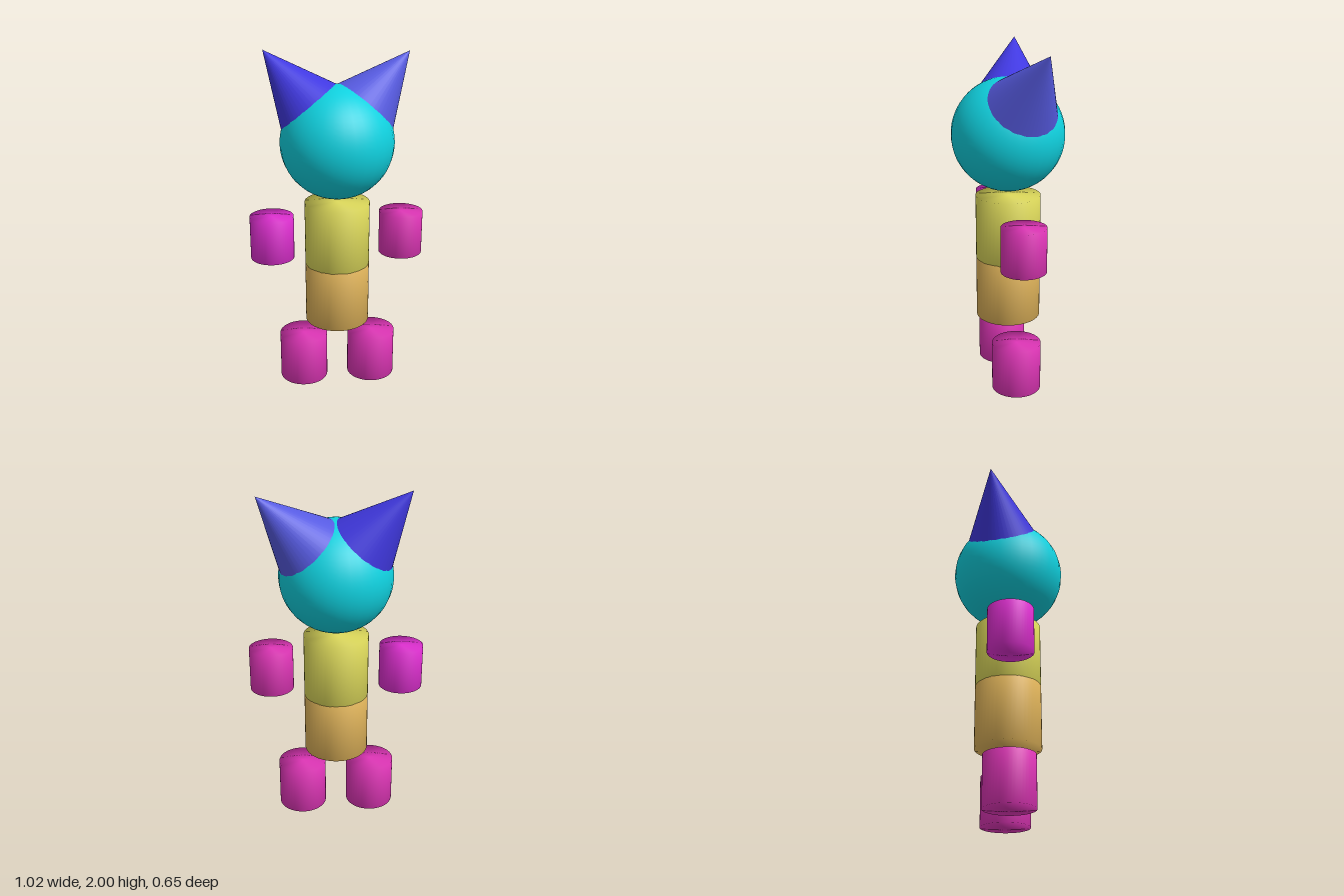
import * as THREE from 'three';
import { mergeVertices } from 'three/addons/utils/BufferGeometryUtils.js';

const material = (name, color) => new THREE.MeshStandardMaterial({ name, color });

// Cylinder whose shading runs smoothly over its rims
function softCylinder(radius, height) {
  const g = new THREE.CylinderGeometry(radius, radius, height, 48);
  g.deleteAttribute('normal');
  g.deleteAttribute('uv');
  const merged = mergeVertices(g, 1e-4);
  merged.computeVertexNormals();
  return merged;
}

export function createModel() {
  const model = new THREE.Group();
  model.name = 'figure';

  const cyan = material('cyan', 0x10d2e0);
  const yellow = material('yellow', 0xdfdb5c);
  const orange = material('orange', 0xdfb35a);
  const pink = material('pink', 0xe036b8);
  const magenta = material('magenta', 0xe030d2);
  const indigo = material('indigo', 0x4038e0);
  const periwinkle = material('periwinkle', 0x565ae0);

  function add(name, geometry, mat, x, y, z) {
    const mesh = new THREE.Mesh(geometry, mat);
    mesh.name = name;
    mesh.position.set(x, y, z);
    model.add(mesh);
    return mesh;
  }

  // Head
  const headRadius = 0.325;
  const headCentre = new THREE.Vector3(0, 1.497, 0);
  add('head', new THREE.SphereGeometry(headRadius, 32, 32), cyan, ...headCentre.toArray());

  // Ears: cones pointing away from the head centre, with buried bases
  function addEar(name, tip, mat) {
    const axis = tip.clone().sub(headCentre);
    const buried = 0.1;
    const height = axis.length() - buried;
    axis.normalize();
    const centre = headCentre.clone().addScaledVector(axis, buried + height / 2);
    const ear = add(name, new THREE.ConeGeometry(height * 0.5, height, 48), mat, ...centre.toArray());
    ear.quaternion.setFromUnitVectors(new THREE.Vector3(0, 1, 0), axis);
  }
  addEar('leftEar', new THREE.Vector3(0.43, 1.98, -0.125), periwinkle);
  addEar('rightEar', new THREE.Vector3(-0.4, 2.0, -0.125), indigo);

  // Torso
  add('chest', softCylinder(0.19, 0.38), yellow, 0, 0.95, 0);
  add('belly', softCylinder(0.19, 0.372), orange, 0, 0.576, 0);

  // Arms and legs
  const arm = softCylinder(0.128, 0.256);
  add('leftArm', arm, pink, 0.38, 0.937, -0.005);
  add('rightArm', arm, magenta, -0.382, 0.937, -0.007);
  const leg = softCylinder(0.144, 0.288);
  add('leftLeg', leg, pink, 0.21, 0.146, -0.004);
  add('rightLeg', leg, pink, -0.207, 0.15, -0.004);

  return model;
}
